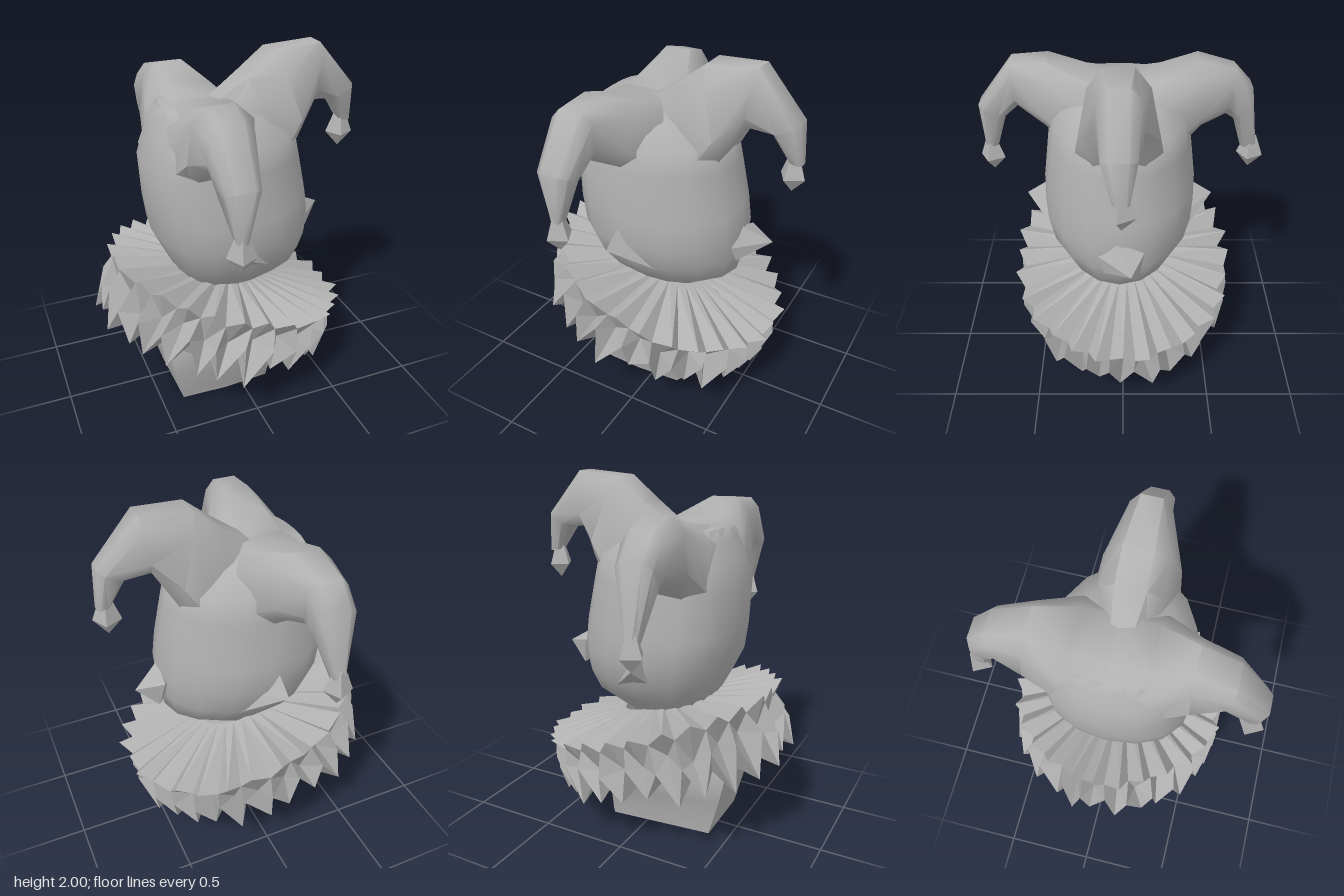
import * as THREE from 'three';
import { toCreasedNormals } from 'three/addons/utils/BufferGeometryUtils.js';
import { ConvexGeometry } from 'three/addons/geometries/ConvexGeometry.js';

const stone = new THREE.MeshStandardMaterial({ color: 0xb0b0b0 });
stone.name = 'grey stone';
const V = (x, y, z) => new THREE.Vector3(x, y, z);

// Skin a list of equal-length loops; closed joins the last loop to the first
function loft(loops, crease, closed = false) {
  const n = loops[0].length, m = loops.length, pts = loops.flat(), tri = [];
  for (let j = 0; j < (closed ? m : m - 1); j++) {
    for (let i = 0; i < n; i++) {
      const k = (i + 1) % n, a = j * n, b = ((j + 1) % m) * n;
      // Alternate the diagonals so neighbouring strips mirror each other
      if (j % 2) tri.push([a + i, a + k, b + k], [a + i, b + k, b + i]);
      else tri.push([a + i, a + k, b + i], [a + k, b + k, b + i]);
    }
  }
  if (!closed) {
    for (let i = 1; i < n - 1; i++) {
      tri.push([0, i + 1, i], [(m - 1) * n, (m - 1) * n + i, (m - 1) * n + i + 1]);
    }
  }
  // Turn all faces outward
  let volume = 0;
  for (const [a, b, c] of tri) volume += pts[a].dot(V(0, 0, 0).crossVectors(pts[b], pts[c]));
  if (volume < 0) tri.forEach((t) => t.reverse());
  const g = new THREE.BufferGeometry().setFromPoints(tri.flat().map((i) => pts[i]));
  return toCreasedNormals(g, crease);
}

export function createModel() {
  const group = new THREE.Group();
  const add = (name, geometry) => {
    const mesh = new THREE.Mesh(geometry, stone);
    mesh.name = name;
    group.add(mesh);
    return mesh;
  };

  // Neck: irregular six-sided block with a small bottom bevel
  const foot = [[-0.39, -0.15], [-0.38, 0.26], [-0.1, 0.27], [0.17, 0.25], [0.25, 0.05], [0.22, -0.21]];
  const collar = [[-0.5, -0.18], [-0.47, 0.3], [-0.15, 0.42], [0.12, 0.38], [0.2, 0.03], [0.1, -0.35]];
  const flat = (list, y, s = 1) => list.map(([x, z]) => V(x * s, y, z * s));
  const middle = foot.map(([x, z], i) => [
    x * 0.5 + collar[i][0] * 0.5 + (x > 0 ? 0.03 : 0), z * 0.5 + collar[i][1] * 0.5]);
  add('neck', loft([flat(foot, 0, 0.98), flat(foot, 0.03), flat(middle, 0.22),
    flat(collar, 0.46), flat(collar, 0.62, 0.6)], 1.1));

  // Head: stacked rounded sections, flatter at the back (y, back, front, half width)
  const headRows = [
    [0.58, -0.15, 0.12, 0.1], [0.67, -0.22, 0.22, 0.17], [0.8, -0.33, 0.42, 0.3],
    [0.92, -0.39, 0.45, 0.385], [1.05, -0.45, 0.46, 0.42], [1.2, -0.47, 0.44, 0.42],
    [1.45, -0.485, 0.39, 0.39], [1.58, -0.445, 0.36, 0.37], [1.68, -0.4, 0.2, 0.3],
    [1.74, -0.36, 0.02, 0.22],
  ];
  add('head', loft(headRows.map(([y, x0, x1, w]) => Array.from({ length: 16 }, (_, i) => {
    const t = (i / 16) * Math.PI * 2, s = Math.sin(t), c = Math.cos(t);
    const round = Math.sign(c) * Math.abs(c) ** (c < 0 ? 0.75 : 0.9);
    return V((x0 + x1) / 2 + ((x1 - x0) / 2) * round - 0.05 * s * s, y, 0.02 + w * s);
  })), 1.0));

  // Hat horns: each row gives outer point, inner point, half width, sideways centre and taper
  function horn(name, rows, place) {
    add(name, loft(rows.map(([r0, y0, r1, y1, w, c, taper = 0]) => Array.from({ length: 8 }, (_, i) => {
      const t = ((i + 0.5) / 8) * Math.PI * 2;
      const square = (v) => Math.sign(v) * Math.min(1, 1.05 * Math.abs(v) ** 0.65);
      const a = square(Math.cos(t)), b = square(Math.sin(t)) * (1 - taper * a);
      return place((r0 + r1) / 2 + ((r0 - r1) / 2) * a, (y0 + y1) / 2 + ((y0 - y1) / 2) * a, c + w * b);
    })), 0.9));
  }
  const sideways = (s) => (r, y, c) => V(c, y, r * s);
  const sideBase = [
    [-0.02, 1.75, 0, 1.3, 0.23, -0.15], [0.2, 1.78, 0.26, 1.35, 0.235, -0.155, 0.05],
    [0.4, 1.85, 0.42, 1.5, 0.16, -0.19, 0.15],
  ];
  horn('leftHorn', [...sideBase,
    [0.6, 1.83, 0.57, 1.59, 0.115, -0.21],
    [0.79, 1.58, 0.65, 1.51, 0.09, -0.22], [0.78, 1.31, 0.71, 1.31, 0.03, -0.22],
  ], sideways(1));
  horn('rightHorn', [...sideBase,
    [0.6, 1.79, 0.56, 1.54, 0.11, -0.21],
    [0.7, 1.68, 0.61, 1.5, 0.1, -0.22], [0.76, 1.29, 0.67, 1.3, 0.03, -0.23],
  ], sideways(-1));
  horn('frontHorn', [
    [-0.1, 1.74, 0, 1.2, 0.16, 0.02, 0.4], [0.08, 1.86, 0.26, 1.35, 0.2, 0.02, 0.3],
    [0.23, 1.98, 0.37, 1.55, 0.18, 0.02, 0.25], [0.5, 2.0, 0.46, 1.7, 0.115, 0.02, 0.15],
    [0.72, 1.75, 0.59, 1.68, 0.085, 0.02], [0.74, 1.53, 0.67, 1.54, 0.04, 0.01],
  ], (r, y, c) => V(r, y, c));

  // Bells: faceted drops hanging from the horn tips
  const bells = [['leftBell', -0.22, 1.25, 0.75], ['rightBell', -0.23, 1.26, -0.73], ['frontBell', 0.69, 1.475, 0.01]];
  for (const [name, x, y, z] of bells) {
    const ring = (r, h) => Array.from({ length: 4 }, (_, i) => {
      const t = (i / 4) * Math.PI * 2 + 0.3;
      return V(x + r * Math.cos(t), y + h, z + r * Math.sin(t));
    });
    add(name, new ConvexGeometry([...ring(0.03, 0.1), ...ring(0.075, -0.02), V(x, y - 0.105, z)]));
  }

  // Ears and nose: pointed wedges
  for (const [name, s] of [['leftEar', 1], ['rightEar', -1]]) {
    const o = s > 0 ? 0 : -0.04;
    add(name, new ConvexGeometry([
      V(-0.09, 1.16, s * (0.4 + o)), V(-0.11, 0.94, s * (0.38 + o)), V(0.16, 0.85, s * (0.32 + o)),
      V(0.05, 1.0, s * 0.33), V(-0.09, 1.06, s * (0.55 + o)),
    ]));
  }
  add('nose', new ConvexGeometry([
    V(0.6, 1.0, -0.04), V(0.44, 1.1, 0.04), V(0.43, 1.0, 0.13), V(0.45, 0.91, 0.1),
    V(0.48, 0.89, -0.08), V(0.45, 1.04, -0.11), V(0.36, 1, 0),
  ]));

  // Ruff: pleated ring, deeper behind, tilted down toward the face
  let seed = 7;
  const jitter = (a) => {
    seed = (seed * 16807) % 2147483647;
    return (seed / 2147483647 - 0.5) * 2 * a;
  };
  const steps = 56;
  const pleats = Array.from({ length: steps }, (_, i) => {
    const s = i % 2 ? -1 : 1, angle = (i / steps) * Math.PI * 2;
    const depth = 1.06 - 0.09 * Math.cos(angle);
    const profile = [
      [0.2, 0.04, 0], [0.64 + 0.02 * s + jitter(0.02), 0.03 * s - 0.01, 0.02],
      [0.61 - 0.05 * s, -0.15 + jitter(0.04), 0.03],
      [0.59 + 0.05 * s + jitter(0.03), -0.28 - 0.05 * s + jitter(0.04), 0.05],
      [0.48, -0.2 - 0.04 * s, 0.02], [0.25, -0.13, 0],
    ];
    return profile.map(([r, y, wobble]) => {
      const t = angle + jitter(wobble);
      return V(r * 1.08 * Math.cos(t), y * (y < -0.1 ? depth : 1), r * 0.96 * Math.sin(t));
    });
  });
  const ruff = add('ruff', loft(pleats, 0.05, true));
  ruff.rotation.z = -0.31;
  ruff.position.set(0, 0.68, 0);
  return group;
}
